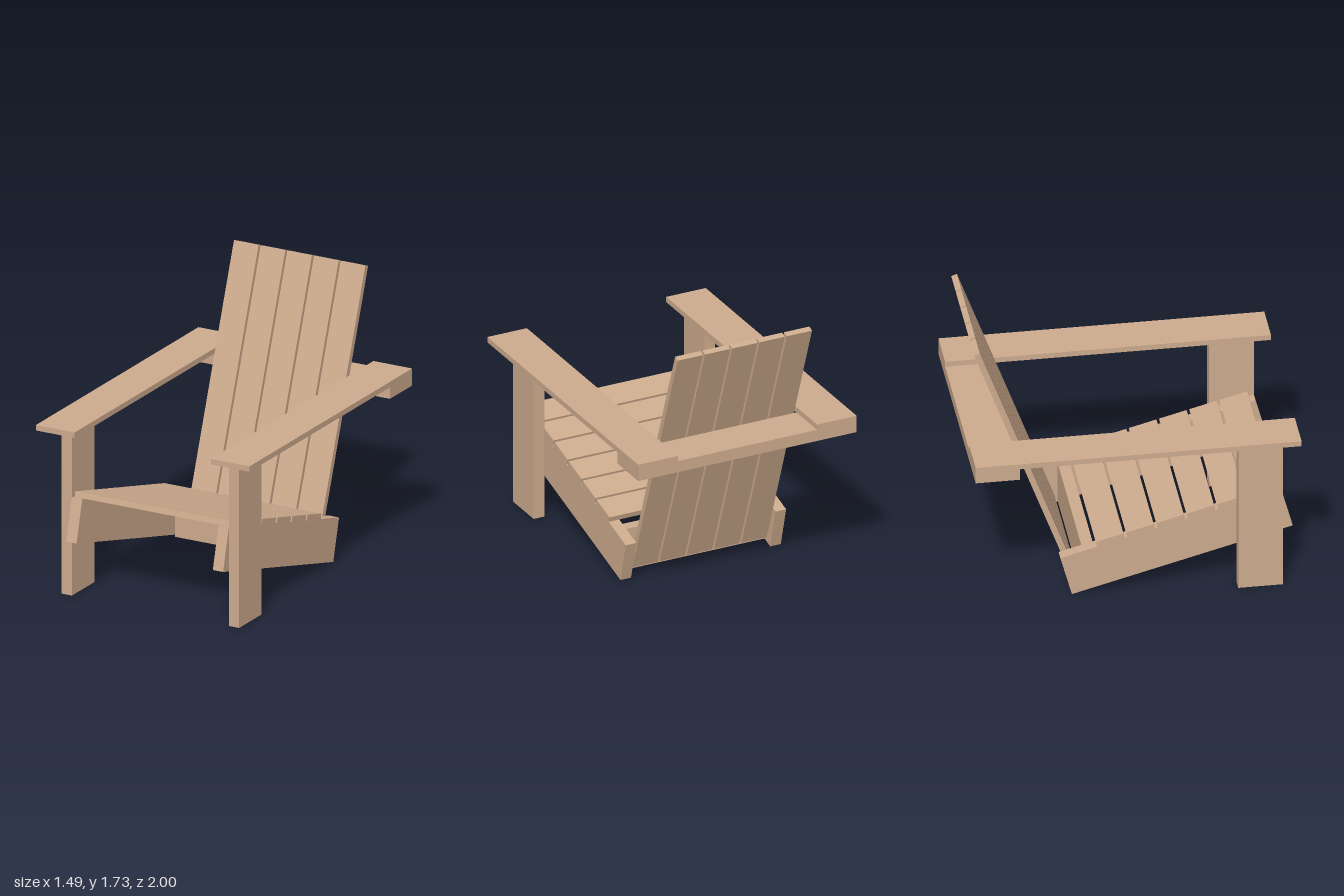
import * as THREE from 'three';

export function createModel() {
  const model = new THREE.Group();
  model.name = 'slattedGardenChair';

  const wood = new THREE.MeshStandardMaterial({ color: 0xcdab8d });
  wood.name = 'tan wood';

  const board = (parent, name, size, position) => {
    const mesh = new THREE.Mesh(new THREE.BoxGeometry(...size), wood);
    mesh.name = name;
    mesh.position.set(...position);
    parent.add(mesh);
  };

  // Seat frame: origin at the upper front corner of the rails, sloping down to the rear
  const seat = new THREE.Group();
  seat.name = 'seat';
  seat.position.set(0, 0.635, 0.905);
  seat.rotation.x = THREE.MathUtils.degToRad(-15);
  model.add(seat);

  // Backrest: origin at the lower front edge, leaning back
  const backrest = new THREE.Group();
  backrest.name = 'backrest';
  backrest.position.set(0, 0.08, -0.33);
  backrest.rotation.x = THREE.MathUtils.degToRad(-20);
  model.add(backrest);

  // Paired armrests, front legs and seat rails
  for (const [side, s] of [['left', 1], ['right', -1]]) {
    board(model, side + 'Armrest', [0.27, 0.035, 2], [s * 0.61, 1.0775, 0]);
    board(model, side + 'FrontLeg', [0.073, 1.06, 0.275], [s * 0.583, 0.53, 0.768]);
    board(seat, side + 'SeatRail', [0.072, 0.274, 1.403], [s * 0.511, -0.137, -0.7015]);
  }

  // Six seat slats resting on the rails
  for (let i = 0; i < 6; i++) {
    board(seat, 'seatSlat' + (i + 1), [1.094, 0.035, 0.176], [0, 0.0175, -0.121 - i * 0.192]);
  }

  // Five upright back slats
  const length = 1.756;
  for (let i = 0; i < 5; i++) {
    board(backrest, 'backSlat' + (i + 1), [0.172, length, 0.037], [(i - 2) * 0.186, length / 2, -0.0185]);
  }

  // Cross boards: one behind the backrest under the arms, one between the rails
  board(model, 'armCrossBoard', [1.49, 0.075, 0.273], [0, 1.0225, -0.8635]);
  board(model, 'lowerCrossBoard', [0.95, 0.273, 0.074], [0, 0.168, -0.273]);

  return model;
}
